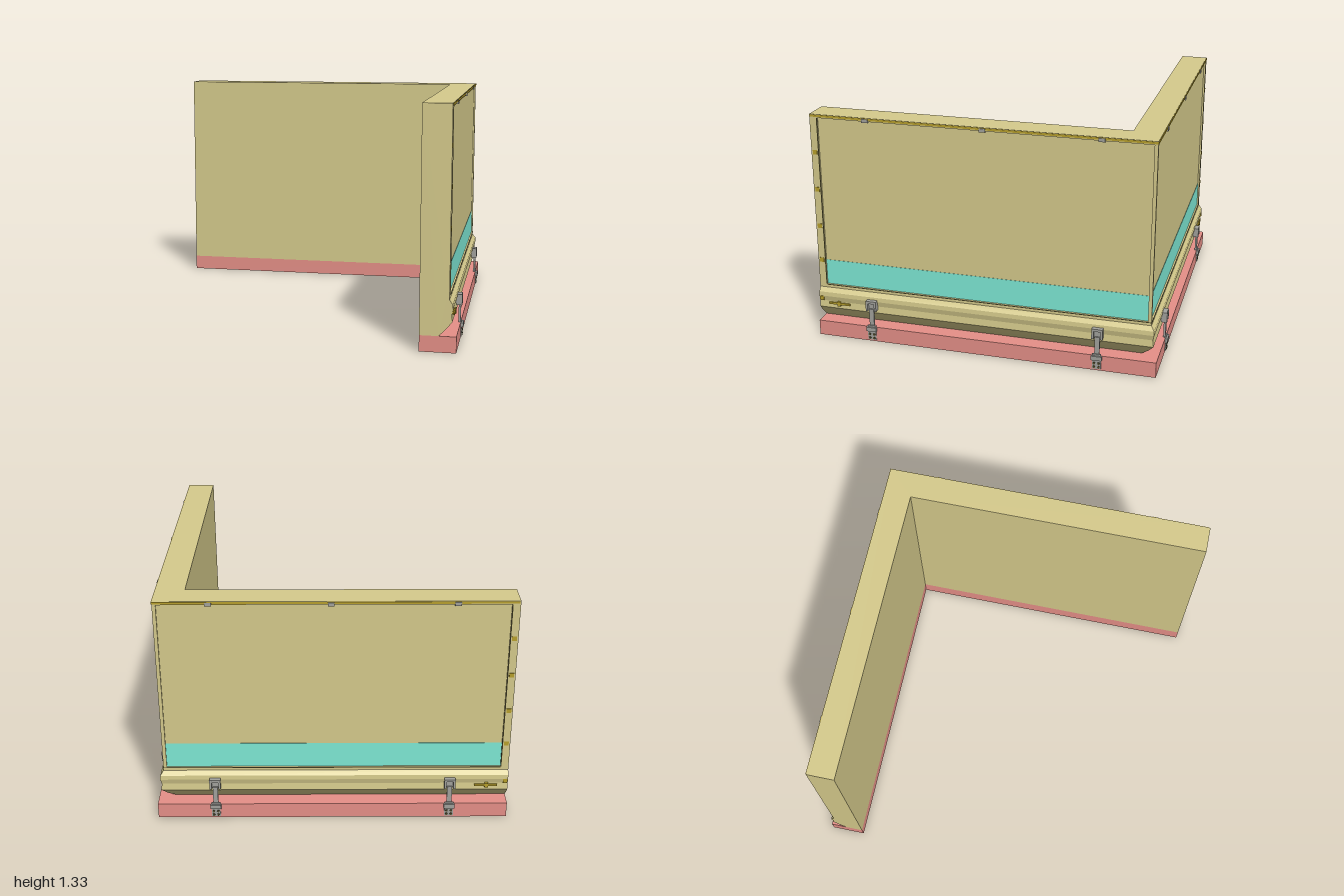
import * as THREE from 'three';

const mat = (color) => new THREE.MeshStandardMaterial({ color });
const tan = mat(0xd6cb8c), pink = mat(0xe69088), cyan = mat(0x7fead6);
const yellow = mat(0xb8a02c), steel = mat(0xa3a39e), dark = mat(0x55502f);

// Sweeps a counter-clockwise profile of [outward, height] points along both arms, mitred at the corner
function sweep(name, profile, material, end = 1) {
  const stations = [
    profile.map(([d, y]) => [-end, y, -d]),
    profile.map(([d, y]) => [d, y, -d]),
    profile.map(([d, y]) => [d, y, end]),
  ];
  const pos = [];
  const n = profile.length;
  for (let s = 0; s < 2; s++) {
    const back = stations[s], front = stations[s + 1];
    for (let i = 0; i < n; i++) {
      const j = (i + 1) % n;
      pos.push(...front[i], ...back[i], ...back[j], ...front[i], ...back[j], ...front[j]);
    }
  }
  const outline = profile.map(([d, y]) => new THREE.Vector2(d, y));
  for (const [a, b, c] of THREE.ShapeUtils.triangulateShape(outline, [])) {
    pos.push(...stations[2][a], ...stations[2][b], ...stations[2][c]);
    pos.push(...stations[0][a], ...stations[0][c], ...stations[0][b]);
  }
  const geo = new THREE.BufferGeometry();
  geo.setAttribute('position', new THREE.Float32BufferAttribute(pos, 3));
  geo.computeVertexNormals();
  const mesh = new THREE.Mesh(geo, material);
  mesh.name = name;
  return mesh;
}

// Box given by its limits on each axis
function box(name, [x0, x1], [y0, y1], [z0, z1], material) {
  const geo = new THREE.BoxGeometry(x1 - x0, y1 - y0, Math.abs(z1 - z0));
  const mesh = new THREE.Mesh(geo, material);
  mesh.position.set((x0 + x1) / 2, (y0 + y1) / 2, (z0 + z1) / 2);
  mesh.name = name;
  return mesh;
}

// Steel clamp joining the moulding to the base
function clamp(z) {
  const g = new THREE.Group();
  g.name = 'clamp';
  g.add(
    box('clampCatch', [0.955, 0.975], [0.19, 0.25], [-0.03, 0.03], steel),
    box('clampCatchBar', [0.975, 0.99], [0.235, 0.25], [-0.03, 0.03], steel),
    box('clampPlate', [0.982, 0.99], [0.01, 0.1], [-0.025, 0.025], steel),
    box('clampHinge', [0.982, 1.0], [0.065, 0.09], [-0.03, 0.03], steel),
    box('clampLever', [0.972, 0.984], [0.09, 0.2], [-0.014, 0.014], steel),
  );
  for (const side of [-1, 1]) {
    g.add(box('clampCheek', [0.97, 0.992], [0.19, 0.25], [side * 0.025 - 0.006, side * 0.025 + 0.006], steel));
    for (const y of [0.022, 0.045]) {
      const bolt = new THREE.Mesh(new THREE.CylinderGeometry(0.007, 0.007, 0.008, 10), dark);
      bolt.rotation.z = Math.PI / 2;
      bolt.position.set(0.991, y, side * 0.013);
      bolt.name = 'clampBolt';
      g.add(bolt);
    }
  }
  g.position.z = z;
  return g;
}

// Fittings of one arm; s is the direction from the corner to the open end
function armFittings(s) {
  const g = new THREE.Group();
  g.name = 'armFittings';
  const span = (a, b) => [s * a, s * b];
  g.add(
    box('endStile', [0.925, 0.945], [0.31, 1.31], span(0.955, 1), tan),
    box('stileSeam', [0.93, 0.947], [0.31, 1.31], span(0.955, 0.96), dark),
    box('cornerStile', [0.925, 0.945], [0.31, 1.31], span(-0.945, -0.925), tan),
    box('latchBar', [0.96, 0.968], [0.194, 0.206], span(0.81, 0.94), yellow),
    box('latchKnob', [0.96, 0.972], [0.186, 0.214], span(0.868, 0.888), yellow),
  );
  for (const y of [0.46, 0.67, 0.89, 1.11]) {
    g.add(box('stileStud', [0.94, 0.948], [y - 0.013, y + 0.013], span(0.965, 0.991), yellow));
  }
  g.add(box('mouldingStud', [0.955, 0.968], [0.213, 0.239], span(0.972, 0.996), yellow));
  for (const t of [0.67, 0, -0.65]) {
    g.add(box('rimCatch', [0.935, 0.952], [1.305, 1.325], span(t - 0.018, t + 0.018), steel));
  }
  g.add(clamp(s * 0.67), clamp(s * -0.655));
  return g;
}

export function createModel() {
  const model = new THREE.Group();
  model.name = 'cornerPanel';

  // Base, wall with its moulding and recessed face, and applied bands
  model.add(
    sweep('base', [[0.785, 0], [0.985, 0], [0.985, 0.09], [0.785, 0.09]], pink),
    sweep('wall', [
      [0.785, 0.09], [0.89, 0.09], [0.93, 0.13], [0.962, 0.17], [0.958, 0.21], [0.965, 0.24],
      [0.963, 0.265], [0.945, 0.29], [0.945, 0.31], [0.935, 0.31], [0.935, 1.31],
      [0.945, 1.31], [0.945, 1.33], [0.785, 1.33],
    ], tan),
    sweep('colourBand', [[0.93, 0.311], [0.937, 0.311], [0.937, 0.46], [0.93, 0.46]], cyan, 0.955),
    sweep('rimSeal', [[0.94, 1.316], [0.948, 1.316], [0.948, 1.328], [0.94, 1.328]], yellow, 0.995),
    sweep('lowerSeam', [[0.94, 0.305], [0.947, 0.305], [0.947, 0.309], [0.94, 0.309]], dark, 0.955),
  );

  // Fittings on the side arm, then the same turned onto the back arm
  const backArm = armFittings(-1);
  backArm.rotation.y = Math.PI / 2;
  model.add(armFittings(1), backArm);
  return model;
}
